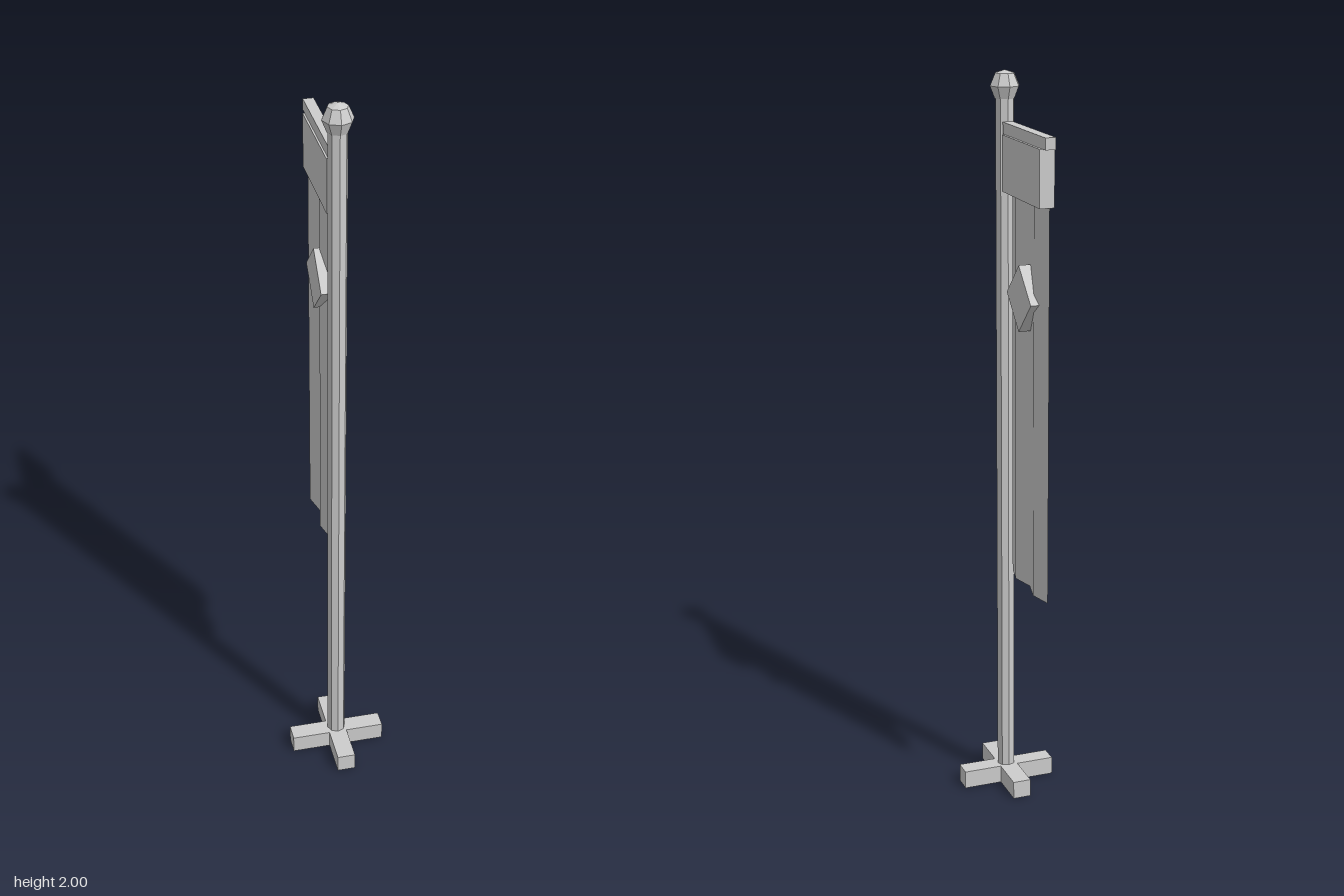
import * as THREE from 'three';

export function createModel() {
  const group = new THREE.Group();
  const grey = new THREE.MeshStandardMaterial({ color: 0xcccccc, flatShading: true });
  grey.name = 'plainGrey';
  grey.side = THREE.DoubleSide;
  const POLE_Z = 0.096;

  const add = (name, geometry, x, y, z) => {
    const mesh = new THREE.Mesh(geometry, grey);
    mesh.name = name;
    mesh.position.set(x, y, z);
    group.add(mesh);
    return mesh;
  };

  // Crossed feet
  add('footAcross', new THREE.BoxGeometry(0.262, 0.05, 0.05), 0, 0.025, POLE_Z);
  for (const side of [1, -1])
    add('footAlong', new THREE.BoxGeometry(0.05, 0.05, 0.106), 0, 0.025, POLE_Z + side * 0.078);

  // Octagonal pole and faceted finial
  add('pole', new THREE.CylinderGeometry(0.025, 0.025, 1.9, 8), 0, 0.99, POLE_Z);
  const finial = [[0, 1.925], [0.027, 1.928], [0.04, 1.96], [0.026, 1.992], [0, 2]]
    .map(([r, y]) => new THREE.Vector2(r, y));
  add('finial', new THREE.LatheGeometry(finial, 8), 0, 0, POLE_Z);

  // Arm that carries the banner, and the banner's header
  add('crossbar', new THREE.BoxGeometry(0.028, 0.03, 0.3), 0, 1.856, -0.078);
  add('bannerHeader', new THREE.BoxGeometry(0.04, 0.146, 0.266), 0.001, 1.768, -0.075);

  // Cloth with two folds: alternate columns of a plane are pushed out
  const cloth = new THREE.PlaneGeometry(0.264, 1.045, 4, 1).rotateY(Math.PI / 2);
  const p = cloth.attributes.position;
  for (let i = 0; i < p.count; i++) p.setX(i, (i % 5) % 2 ? 0.009 : -0.007);
  cloth.computeVertexNormals();
  add('bannerCloth', cloth, 0, 1.1725, -0.074);

  // Diamond emblem showing on both faces
  const diamond = add('diamondEmblem', new THREE.BoxGeometry(0.048, 0.123, 0.123), 0.002, 1.442, -0.076);
  diamond.rotation.x = Math.PI / 4;

  return group;
}
